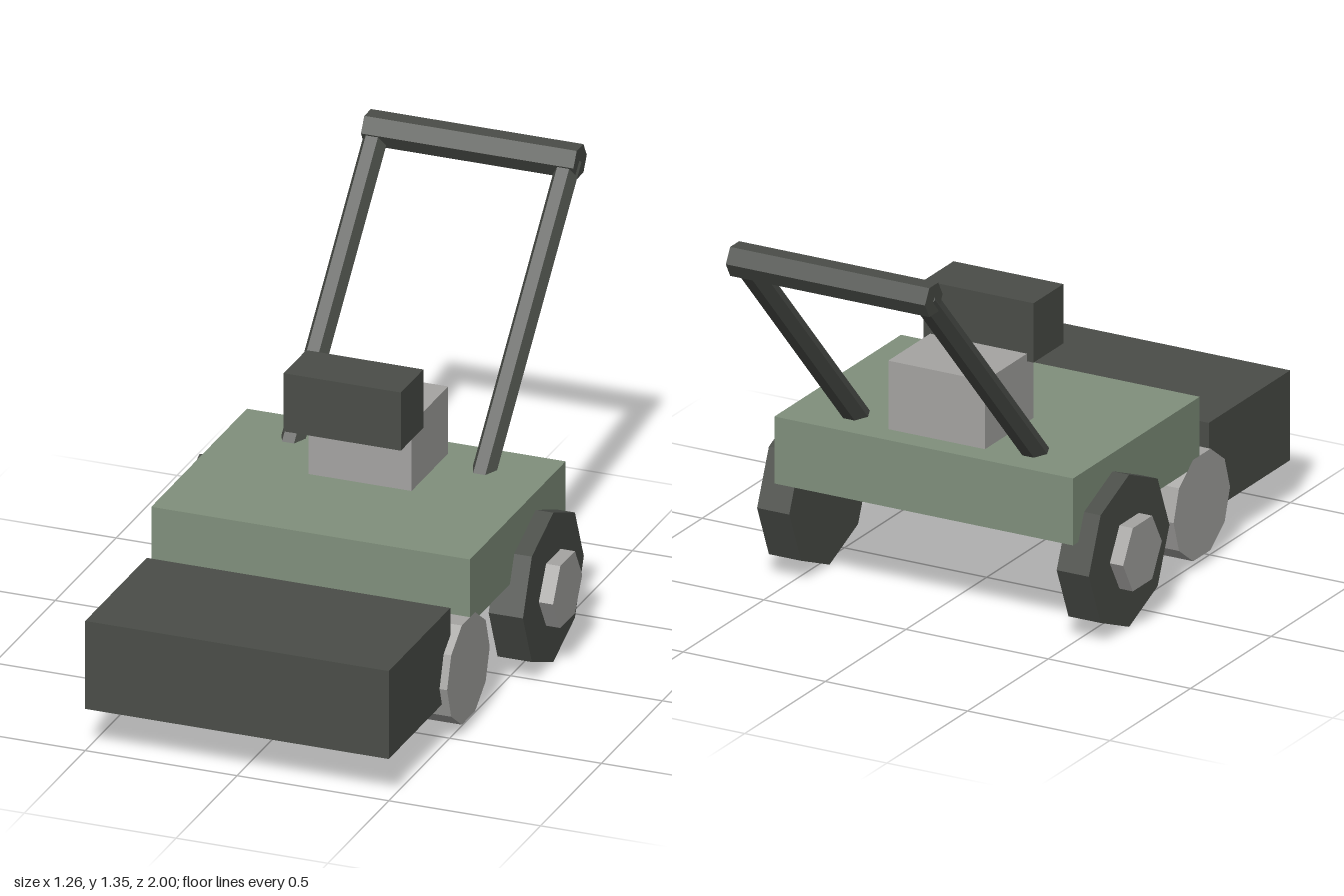
import * as THREE from 'three';

const paint = (color) => new THREE.MeshStandardMaterial({ color, flatShading: true });

export function createModel() {
  const model = new THREE.Group();
  const green = paint(0x80907c);
  const dark = paint(0x4a4d48);
  const metal = paint(0xa5a4a2);

  const add = (name, geometry, material, x, y, z) => {
    const mesh = new THREE.Mesh(geometry, material);
    mesh.name = name;
    mesh.position.set(x, y, z);
    model.add(mesh);
    return mesh;
  };
  // Box given by its width and its y and z ranges, centred on x = 0
  const block = (name, material, width, y0, y1, z0, z1) =>
    add(name, new THREE.BoxGeometry(width, y1 - y0, z1 - z0), material, 0, (y0 + y1) / 2, (z0 + z1) / 2);
  // Faceted cylinder lying along x
  const drum = (name, material, radius, sides, x0, x1, y, z) =>
    add(name, new THREE.CylinderGeometry(radius, radius, x1 - x0, sides).rotateZ(Math.PI / 2),
      material, (x0 + x1) / 2, y, z);

  // Body, engine and collecting box
  block('deck', green, 1.05, 0.34, 0.56, -0.39, 0.395);
  block('engine', metal, 0.34, 0.5, 0.785, -0.31, -0.01);
  block('fuelTank', dark, 0.386, 0.76, 0.955, -0.05, 0.135);
  block('grassBox', dark, 1.0, 0.14, 0.435, 0.495, 1.0);

  // Front roller
  drum('roller', metal, 0.175, 10, -0.525, 0.525, 0.2, 0.408);

  // Rear wheels with hubs, and handle arms, mirrored left and right
  const armBottom = new THREE.Vector3(0, 0.5, -0.195);
  const armTop = new THREE.Vector3(0, 1.303, -0.945);
  const armAxis = armTop.clone().sub(armBottom);
  for (const [side, s] of [['left', 1], ['right', -1]]) {
    const span = (a, b) => (s > 0 ? [a, b] : [-b, -a]);
    drum(side + 'Wheel', dark, 0.25, 8, ...span(0.47, 0.583), 0.25, -0.145);
    drum(side + 'Hub', metal, 0.12, 6, ...span(0.52, 0.63), 0.25, -0.145);

    const armGeometry = new THREE.CylinderGeometry(0.04, 0.04, armAxis.length(), 6).rotateY(Math.PI / 6);
    const arm = add(side + 'HandleArm', armGeometry, dark,
      s * 0.315, (armBottom.y + armTop.y) / 2, (armBottom.z + armTop.z) / 2);
    arm.rotation.x = Math.atan2(armAxis.z, armAxis.y);
  }

  // Handle grip bar
  drum('handleBar', dark, 0.055, 6, -0.35, 0.35, 1.303, -0.945);

  return model;
}
